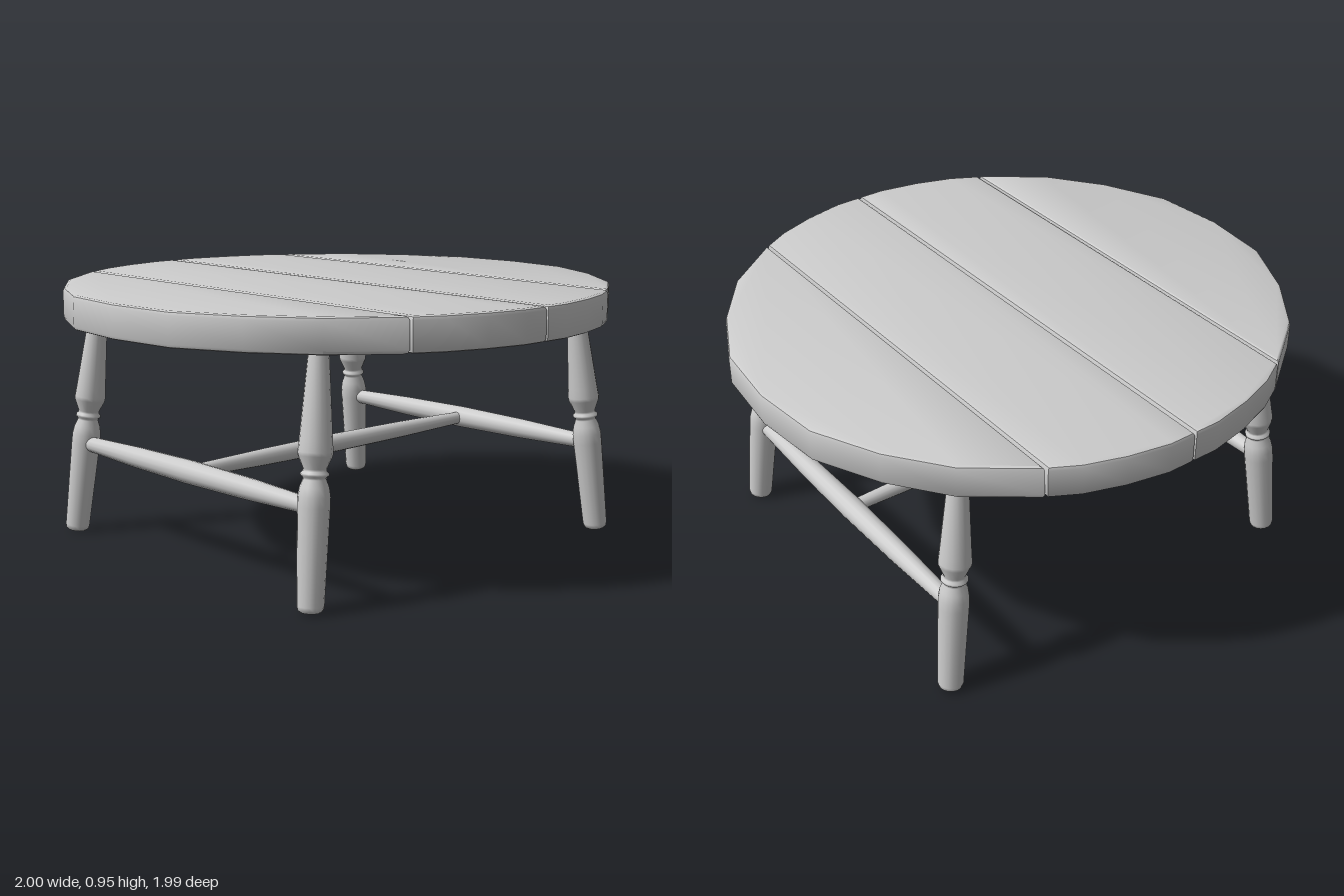
import * as THREE from 'three';
import { toCreasedNormals } from 'three/addons/utils/BufferGeometryUtils.js';

const material = new THREE.MeshStandardMaterial({ color: 0xcccccc });
const UP = new THREE.Vector3(0, 1, 0);

// Turned part: profile of [radius, fraction of length], laid from point a to point b
function turned(name, profile, a, b, segments) {
  const axis = b.clone().sub(a);
  const length = axis.length();
  const points = profile.map(([r, t]) => new THREE.Vector2(r, t * length));
  const mesh = new THREE.Mesh(new THREE.LatheGeometry(points, segments), material);
  mesh.name = name;
  mesh.position.copy(a);
  mesh.quaternion.setFromUnitVectors(UP, axis.normalize());
  return mesh;
}

// Plank with eased edges; edge lists the [x, z] rim points of its z >= 0 half
function plank(name, edge, side) {
  const bevel = 0.014;
  const rim = [...edge, ...edge.filter(([, z]) => z > 0).reverse().map(([x, z]) => [x, -z])];
  const shape = new THREE.Shape(rim.map(([x, z]) => new THREE.Vector2(x * side, z)));
  const geometry = new THREE.ExtrudeGeometry(shape, {
    depth: 0.12 - 2 * bevel, bevelEnabled: true, bevelSize: bevel,
    bevelThickness: bevel, bevelOffset: -bevel, bevelSegments: 2,
  });
  geometry.rotateX(-Math.PI / 2);
  const mesh = new THREE.Mesh(toCreasedNormals(geometry, Math.PI / 5), material);
  mesh.name = name;
  mesh.position.y = 0.83 + bevel;
  return mesh;
}

export function createModel() {
  const group = new THREE.Group();
  group.name = 'roundTable';

  // Round top of four planks
  const innerEdge = [[0.004, 0.995], [0.1, 0.995], [0.25, 0.965], [0.39, 0.918], [0.486, 0.865]];
  innerEdge.push(...innerEdge.map(([x, z]) => [x, -z]).reverse());
  const inner = innerEdge.slice(0, 5);
  const outer = [[0.494, 0.86], [0.71, 0.70], [0.86, 0.50], [0.973, 0.265], [1, 0]];
  for (const side of [-1, 1]) {
    const label = side > 0 ? 'left' : 'right';
    group.add(plank(label + 'InnerPlank', inner, side));
    group.add(plank(label + 'OuterPlank', outer, side));
  }

  // Splayed turned legs
  const legProfile = [
    [0, 0], [0.032, 0], [0.041, 0.008], [0.045, 0.025], [0.053, 0.4], [0.053, 0.44],
    [0.048, 0.475], [0.038, 0.505], [0.039, 0.513], [0.046, 0.52], [0.046, 0.528],
    [0.039, 0.536], [0.038, 0.545], [0.056, 0.595], [0.057, 0.61], [0.054, 0.65],
    [0.034, 0.98], [0.034, 1], [0, 1],
  ];
  for (const x of [-1, 1]) {
    for (const z of [-1, 1]) {
      const name = (z > 0 ? 'front' : 'back') + (x > 0 ? 'Left' : 'Right') + 'Leg';
      group.add(turned(name, legProfile,
        new THREE.Vector3(0.73 * x, 0.004, 0.66 * z),
        new THREE.Vector3(0.64 * x, 0.84, 0.605 * z), 16));
    }
  }

  // Stretchers swelling towards the middle, joined in an H
  const swell = (end, mid) => [0, 0.25, 0.5, 0.75, 1].map(
    (t) => [end + (mid - end) * Math.sin(Math.PI * t), t]);
  for (const x of [-1, 1]) {
    group.add(turned(x > 0 ? 'leftStretcher' : 'rightStretcher', swell(0.027, 0.042),
      new THREE.Vector3(0.695 * x, 0.338, -0.63), new THREE.Vector3(0.695 * x, 0.338, 0.63), 14));
  }
  group.add(turned('crossStretcher', swell(0.023, 0.034),
    new THREE.Vector3(-0.69, 0.338, 0), new THREE.Vector3(0.69, 0.338, 0), 14));

  return group;
}
